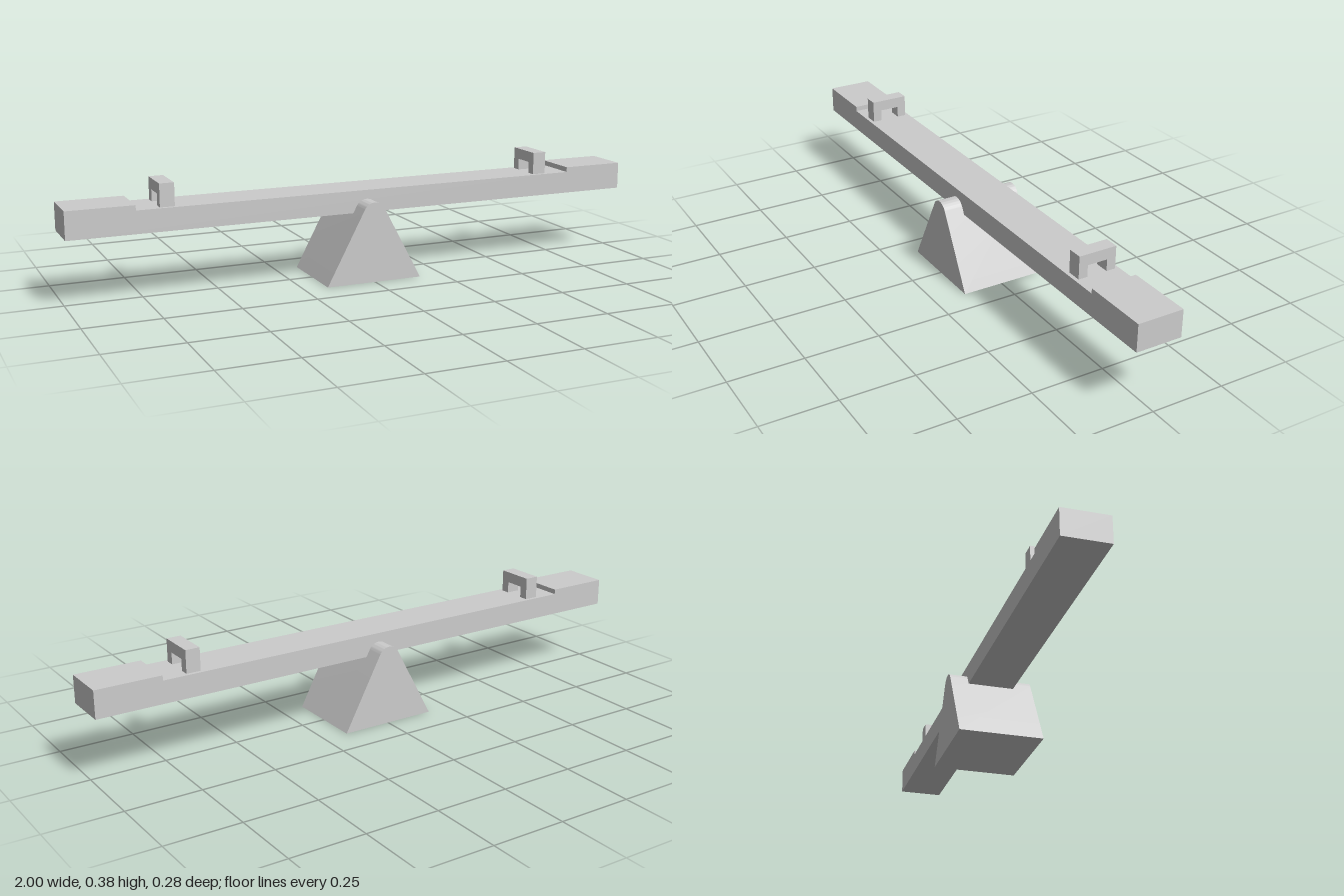
import * as THREE from 'three';
import { toCreasedNormals } from 'three/addons/utils/BufferGeometryUtils.js';

const material = new THREE.MeshStandardMaterial({ color: 0xcccccc });

// Extrude a shape along z, centred on the given z
function extrude(name, shape, depth, z) {
  const geometry = new THREE.ExtrudeGeometry(shape, { depth, bevelEnabled: false, curveSegments: 12 });
  geometry.translate(0, 0, z - depth / 2);
  const mesh = new THREE.Mesh(toCreasedNormals(geometry, 0.5), material);
  mesh.name = name;
  return mesh;
}

function polygon(points) {
  return new THREE.Shape(points.map(([x, y]) => new THREE.Vector2(x, y)));
}

export function createModel() {
  const group = new THREE.Group();
  group.name = 'seesaw';
  const zMid = -0.0025;

  // Plank with a raised seat at each end
  const bottom = 0.225, deck = 0.3, seatTop = 0.317, seatStart = 0.78;
  group.add(extrude('plankWithSeats', polygon([
    [-1, bottom], [1, bottom], [1, seatTop], [seatStart, seatTop], [seatStart, deck],
    [-seatStart, deck], [-seatStart, seatTop], [-1, seatTop],
  ]), 0.155, zMid));

  // Wedge-shaped fulcrum with a rounded ridge
  const r = 0.04, ridgeY = 0.23, tangent = THREE.MathUtils.degToRad(28);
  const wedge = new THREE.Shape();
  wedge.moveTo(-0.168, 0);
  wedge.lineTo(0.168, 0);
  wedge.absarc(0, ridgeY, r, tangent, Math.PI - tangent, false);
  wedge.closePath();
  const fulcrum = extrude('fulcrum', wedge, 0.282, 0);
  fulcrum.position.x = -0.002;
  group.add(fulcrum);

  // Arched hand grips, drawn across the plank and turned to face along it
  const outer = 0.065, inner = 0.034, top = 0.376, gap = 0.339;
  const arch = polygon([
    [-outer, deck], [-inner, deck], [-inner, gap], [inner, gap],
    [inner, deck], [outer, deck], [outer, top], [-outer, top],
  ]);
  for (const [name, x] of [['rightHandle', -0.677], ['leftHandle', 0.672]]) {
    const handle = extrude(name, arch, 0.048, 0);
    handle.rotation.y = Math.PI / 2;
    handle.position.set(x, 0, zMid);
    group.add(handle);
  }
  return group;
}
